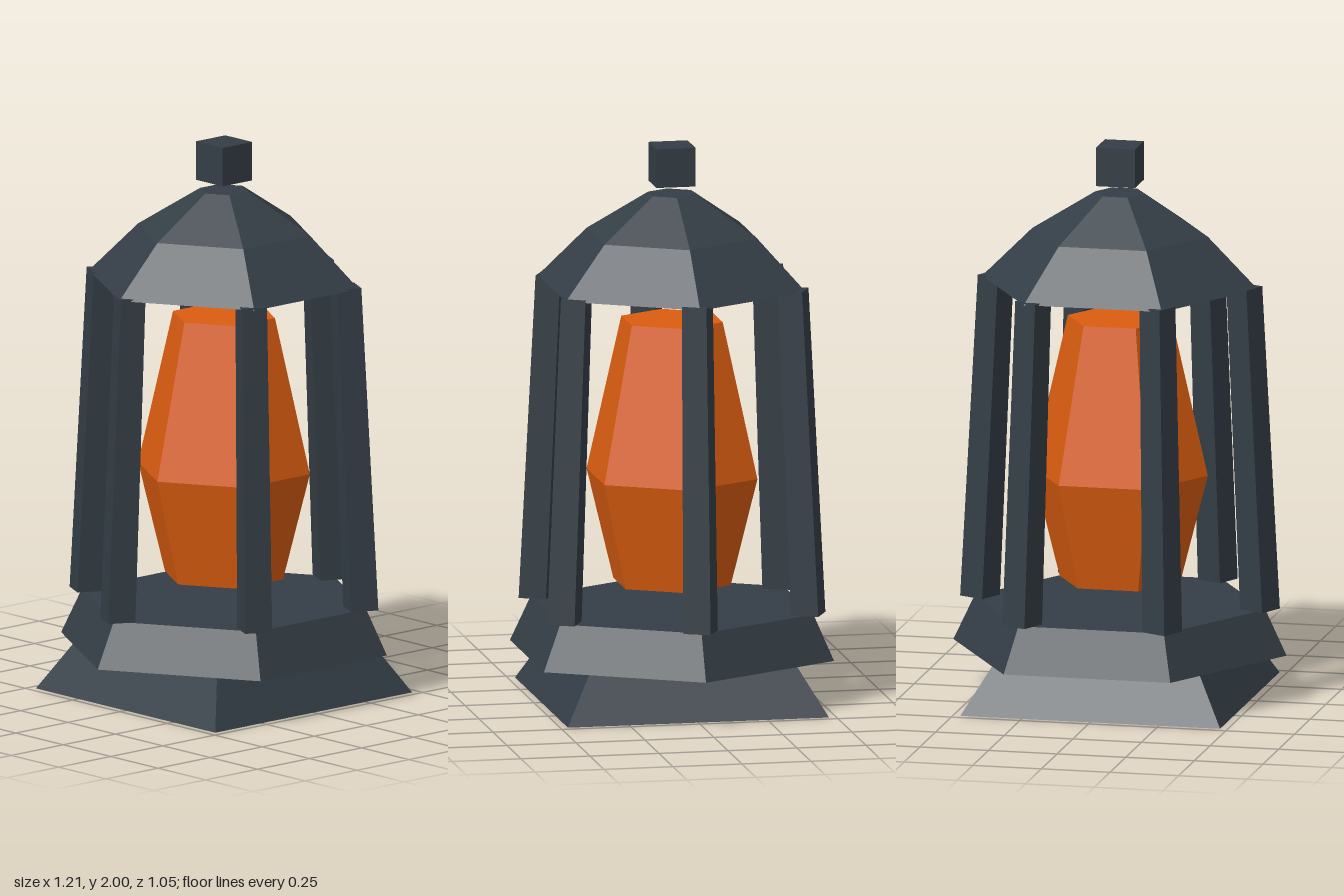
import * as THREE from 'three';

const metal = new THREE.MeshStandardMaterial({ color: 0x343e46 });
metal.name = 'dark iron';
const glow = new THREE.MeshStandardMaterial({ color: 0xdb5d10 });
glow.name = 'orange glow';

// Faceted geometry with hard edges
function facet(geometry) {
  const g = geometry.toNonIndexed();
  g.computeVertexNormals();
  return g;
}

// Closed frustum between two heights, with a corner at angle `turn` from +z
function frustum(rTop, rBottom, y0, y1, sides, turn) {
  return new THREE.CylinderGeometry(rTop, rBottom, y1 - y0, sides)
    .rotateY(turn)
    .translate(0, (y0 + y1) / 2, 0);
}

// Closed six-sided body from [radius, height] rings, corners on the x axis
function hexBody(rings) {
  const points = [[0, rings[0][1]], ...rings, [0, rings[rings.length - 1][1]]];
  return new THREE.LatheGeometry(points.map(p => new THREE.Vector2(...p)), 6, Math.PI / 6);
}

export function createModel() {
  const model = new THREE.Group();
  model.name = 'lantern';

  function add(name, geometry, material) {
    const mesh = new THREE.Mesh(facet(geometry), material);
    mesh.name = name;
    model.add(mesh);
    return mesh;
  }

  // Square foot and hexagonal floor
  add('foot', frustum(0.375 * Math.SQRT2, 0.473 * Math.SQRT2, 0, 0.172, 4, Math.PI / 4), metal);
  add('floor', frustum(0.53, 0.607, 0.17, 0.333, 6, Math.PI / 6), metal);

  // Glowing core hanging in the middle
  add('core', hexBody([[0.22, 0.42], [0.32, 0.81], [0.19, 1.37]]), glow);

  // Domed roof and the cube above it
  add('roof', hexBody([[0.503, 1.497], [0.32, 1.68], [0.09, 1.825]]), metal);
  add('finial', new THREE.BoxGeometry(0.142, 0.14, 0.142).translate(0, 1.93, 0), metal);

  // Six square posts leaning inward, all turned the same way
  const y0 = 0.335, y1 = 1.505;
  for (let i = 0; i < 6; i++) {
    const a = (i * Math.PI) / 3;
    const g = frustum(0.064, 0.071, y0, y1, 4, THREE.MathUtils.degToRad(19));
    const p = g.attributes.position;
    for (let k = 0; k < p.count; k++) {
      const r = THREE.MathUtils.mapLinear(p.getY(k), y0, y1, 0.51, 0.453);
      p.setX(k, p.getX(k) + r * Math.cos(a));
      p.setZ(k, p.getZ(k) + r * Math.sin(a));
    }
    add('post' + (i + 1), g, metal);
  }

  return model;
}
